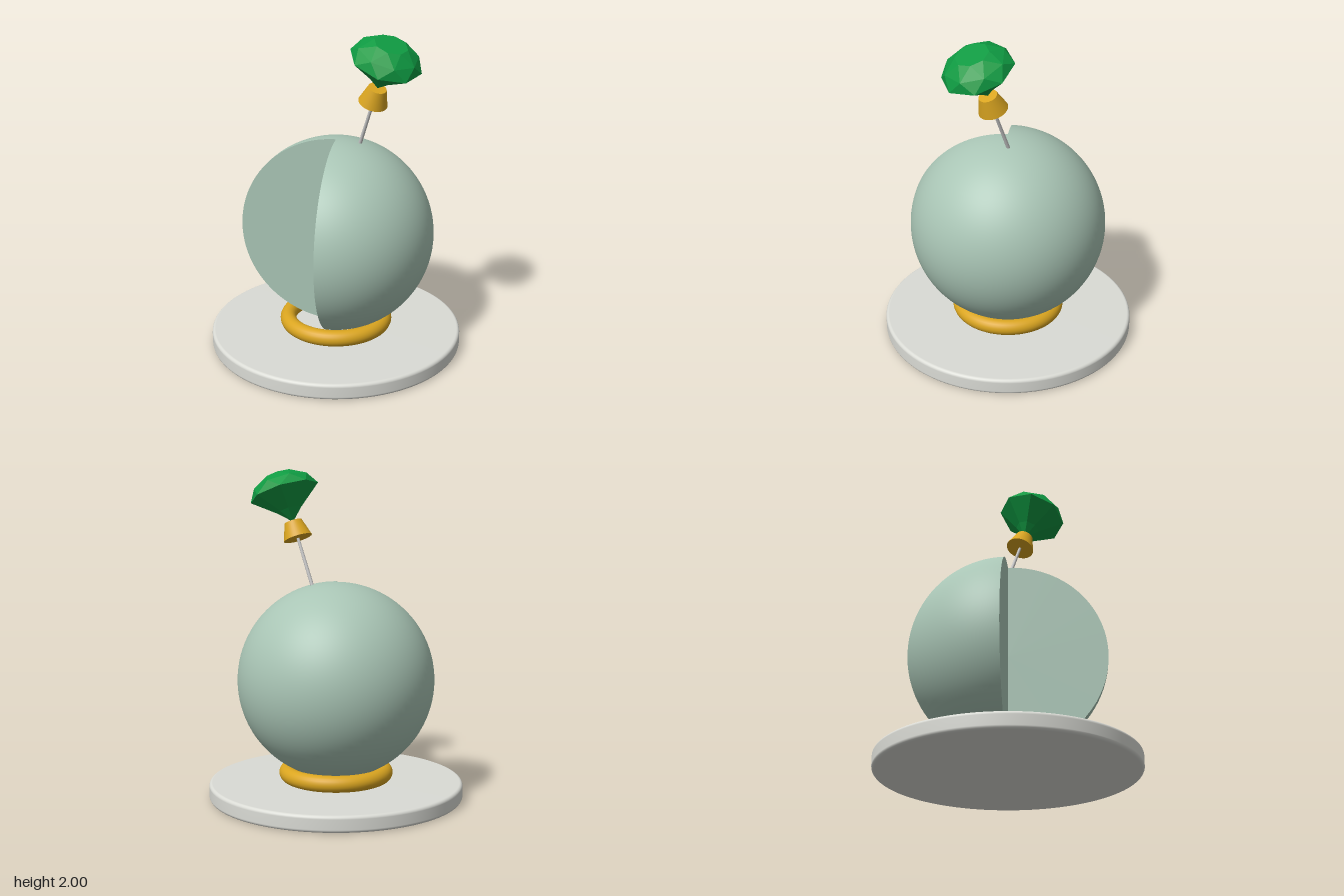
import * as THREE from 'three';

const mat = (name, color, extra = {}) =>
  Object.assign(new THREE.MeshStandardMaterial({ color, ...extra }), { name });

function add(parent, name, geometry, material, y = 0) {
  const mesh = new THREE.Mesh(geometry, material);
  mesh.name = name;
  mesh.position.y = y;
  parent.add(mesh);
  return mesh;
}

const lathe = (points, segments) =>
  new THREE.LatheGeometry(points.map(([r, y]) => new THREE.Vector2(r, y)), segments);

// Faceted stone: rings of eight corners, each listed as [radius, height, half-step turn]
function gemGeometry(rings, sides = 8) {
  const positions = [];
  const corner = ([r, y, turn], i) => {
    const a = ((i + turn) / sides) * Math.PI * 2;
    return [r * Math.sin(a), y, r * Math.cos(a)];
  };
  const tri = (...corners) => corners.forEach((c) => positions.push(...c));
  for (let k = 0; k < rings.length - 1; k++) {
    const lo = rings[k], hi = rings[k + 1];
    const shift = hi[2] < lo[2] ? 1 : 0;
    for (let i = 0; i < sides; i++) {
      const a = corner(lo, i), b = corner(lo, i + 1);
      const c = corner(hi, i + shift), d = corner(hi, i + 1 + shift);
      if (hi[2] === lo[2]) {
        if (lo[0] > 0) tri(a, b, c);
        if (hi[0] > 0) tri(b, d, c);
      } else if (shift) {
        tri(a, b, c);
        tri(b, d, c);
      } else {
        tri(a, b, c);
        tri(b, d, c);
      }
    }
  }
  const geometry = new THREE.BufferGeometry();
  geometry.setAttribute('position', new THREE.Float32BufferAttribute(positions, 3));
  geometry.computeVertexNormals();
  return geometry;
}

export function createModel() {
  const model = new THREE.Group();
  model.name = 'gemOrnament';
  const stone = mat('pale grey', 0xdadbd5);
  const gold = mat('gold', 0xdaa520);
  const sage = mat('sage green', 0xa9c5b5);
  const steel = mat('steel', 0xc4c4c4);
  const emerald = mat('emerald', 0x0f9a42, { flatShading: true });

  // Round base with softened rims
  const R = 0.78, H = 0.1, B = 0.02;
  const rim = [];
  for (let i = 0; i <= 6; i++) {
    const a = (i / 6) * Math.PI / 2;
    rim.push([R - B + B * Math.sin(a), B - B * Math.cos(a)]);
  }
  const rimTop = rim.map(([r, y]) => [r, H - y]).reverse();
  add(model, 'base', lathe([[0, 0], ...rim, ...rimTop, [0, H]], 96), stone);

  // Ring that cradles the ball
  const ring = add(model, 'supportRing', new THREE.TorusGeometry(0.3, 0.05, 24, 80), gold, 0.15);
  ring.rotation.x = Math.PI / 2;

  // Ball with one quarter cut away at the front right
  const radius = 0.6, centre = 0.727;
  add(model, 'ball', new THREE.SphereGeometry(radius, 72, 48, Math.PI / 2, Math.PI * 1.5), sage, centre);
  add(model, 'cutFaceBack', new THREE.CircleGeometry(radius, 64, Math.PI / 2, Math.PI), sage, centre);
  const side = add(model, 'cutFaceSide', new THREE.CircleGeometry(radius, 64, -Math.PI / 2, Math.PI), sage, centre);
  side.rotation.y = -Math.PI / 2;

  // Tilted pin, collar and gem share one axis, with the gem's tip at the origin
  const topper = new THREE.Group();
  topper.name = 'topper';
  topper.position.set(0.264, 1.683, 0.085);
  topper.quaternion.setFromUnitVectors(
    new THREE.Vector3(0, 1, 0), new THREE.Vector3(0.295, 0.922, 0.25).normalize());
  model.add(topper);

  add(topper, 'pin', new THREE.CylinderGeometry(0.009, 0.011, 0.34, 16), steel, -0.245);
  add(topper, 'collar', new THREE.CylinderGeometry(0.055, 0.088, 0.106, 40), gold, -0.053);
  add(topper, 'gem', gemGeometry([
    [0, 0, 0], [0.075, 0.075, 0], [0.215, 0.188, 0],
    [0.18, 0.25, 0.5], [0.1, 0.302, 0], [0, 0.302, 0],
  ]), emerald);

  return model;
}
